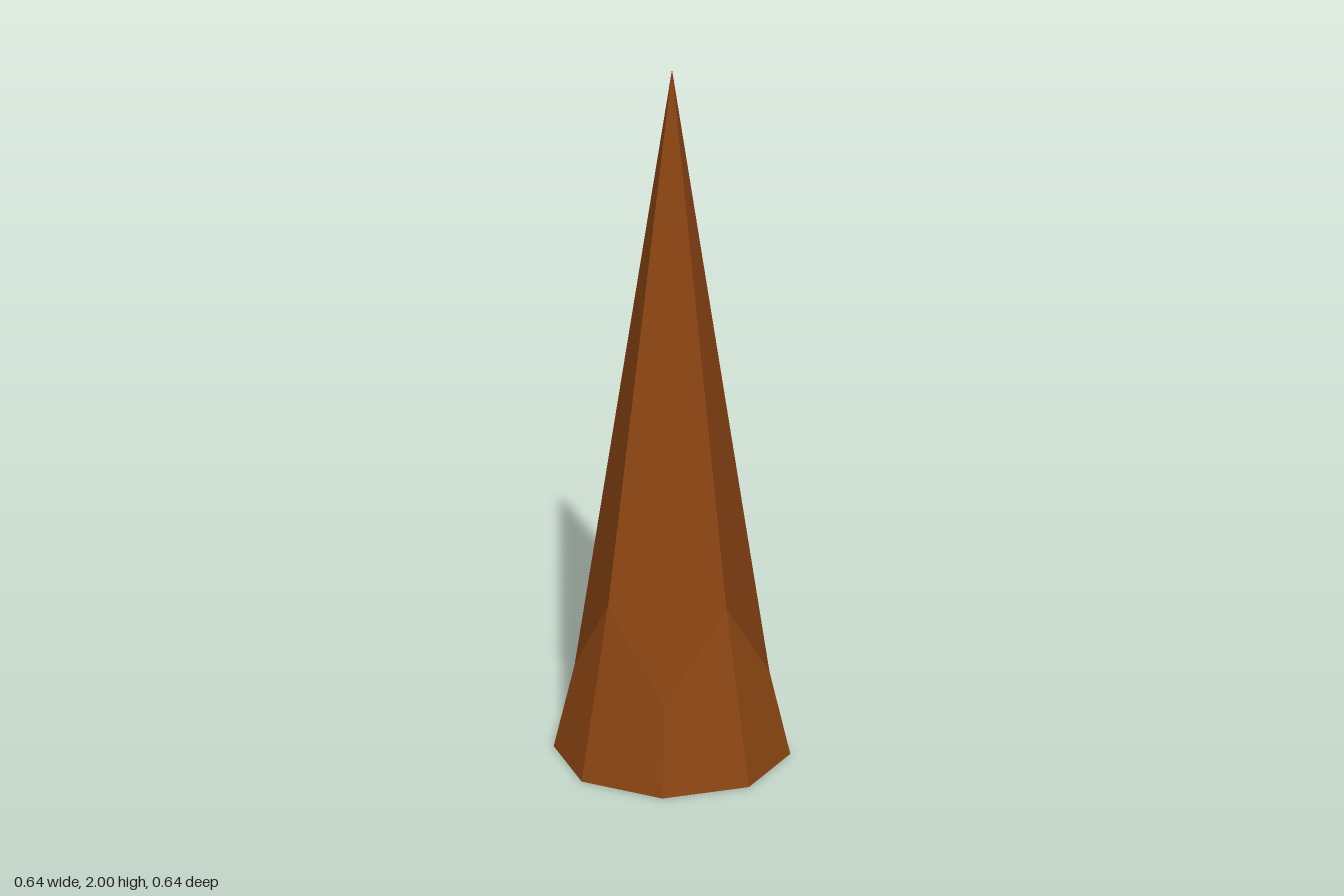
import * as THREE from 'three';

// Point on a ring at eighth-turn i, with i = 0 on +z and i = 2 on +x
const ringPoint = (i, radius, y) => {
  const a = (i * Math.PI) / 4;
  return new THREE.Vector3(radius * Math.sin(a), y, radius * Math.cos(a));
};

// Four-cornered facets, each shaded with a single normal across its two triangles
function facets(quads) {
  const positions = [], normals = [];
  for (const [a, b, c, d] of quads) {
    const n = c.clone().sub(a).cross(d.clone().sub(b)).normalize();
    for (const p of [a, b, c, a, c, d]) {
      positions.push(p.x, p.y, p.z);
      normals.push(n.x, n.y, n.z);
    }
  }
  const geometry = new THREE.BufferGeometry();
  geometry.setAttribute('position', new THREE.Float32BufferAttribute(positions, 3));
  geometry.setAttribute('normal', new THREE.Float32BufferAttribute(normals, 3));
  return geometry;
}

export function createModel() {
  const model = new THREE.Group();
  model.name = 'spike';
  const brown = new THREE.MeshStandardMaterial({ color: 0x8b4513, side: THREE.DoubleSide });

  const apex = new THREE.Vector3(0, 2, 0);
  const base = (i) => ringPoint(i, 0.318, 0);
  // The zigzag seam is high on the axes and low on the diagonals
  const seam = (i) => (i % 2 ? ringPoint(i, 0.262, 0.24) : ringPoint(i, 0.225, 0.49));

  // Four long facets; opposite pairs fold along the length or across the foot
  const long = [];
  for (let i = 0; i < 8; i += 2) {
    const [a, low, b] = [seam(i), seam(i + 1), seam(i + 2)];
    long.push(i % 4 ? [apex, a, low, b] : [a, low, b, apex]);
  }
  const point = new THREE.Mesh(facets(long), brown);
  point.name = 'point';

  // Eight flared panels, open underneath
  const panels = [];
  for (let i = 0; i < 8; i++) {
    panels.push([seam(i), base(i), base(i + 1), seam(i + 1)]);
  }
  const foot = new THREE.Mesh(facets(panels), brown);
  foot.name = 'flaredFoot';

  model.add(point, foot);
  return model;
}
